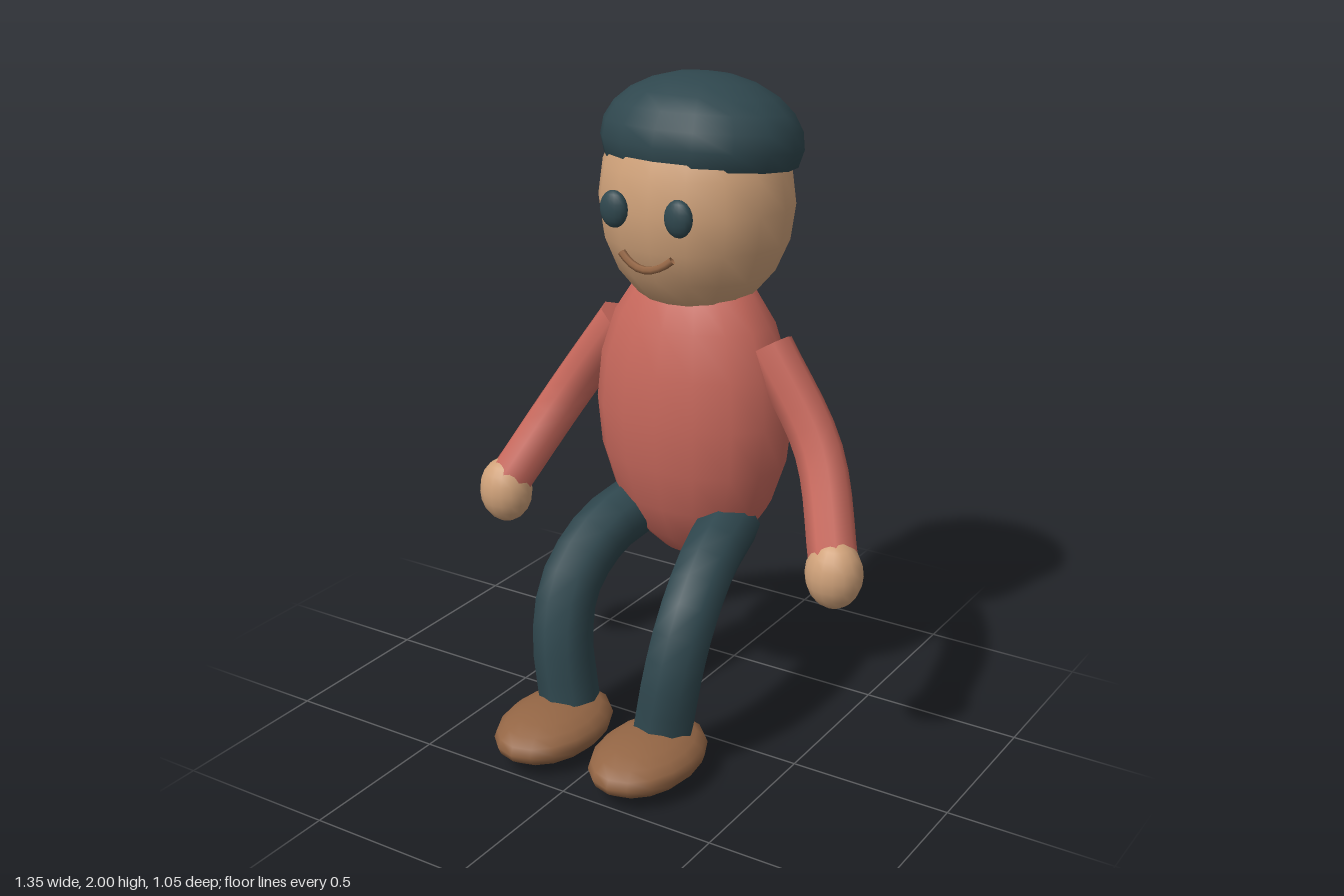
import * as THREE from 'three';

const mat = (name, color) => {
  const m = new THREE.MeshStandardMaterial({ color, side: THREE.DoubleSide });
  m.name = name;
  return m;
};

export function createModel() {
  const group = new THREE.Group();
  const skin = mat('skin', 0xd0a27a);
  const red = mat('red shirt', 0xc7685c);
  const teal = mat('dark teal', 0x2f474e);
  const brown = mat('brown leather', 0x946645);

  const add = (name, geometry, material, parent = group) => {
    const mesh = new THREE.Mesh(geometry, material);
    mesh.name = name;
    parent.add(mesh);
    return mesh;
  };

  // Stretched sphere, optionally cut off below a polar angle
  const ellipsoid = (name, pos, radii, material, theta = Math.PI, rings = 10) => {
    const g = new THREE.SphereGeometry(1, 16, rings, 0, Math.PI * 2, 0, theta);
    g.scale(...radii);
    const mesh = add(name, g, material);
    mesh.position.set(...pos);
    return mesh;
  };

  // Bent limb with flat ends
  const limb = (name, points, radius, material, sides = 8) => {
    const part = new THREE.Group();
    part.name = name;
    const curve = new THREE.CatmullRomCurve3(points.map(p => new THREE.Vector3(...p)));
    add(name + 'Tube', new THREE.TubeGeometry(curve, 10, radius, sides), material, part);
    const frames = curve.computeFrenetFrames(10);
    for (const [t, dir] of [[0, -1], [1, 1]]) {
      const i = t * 10;
      const cap = add(name + 'End', new THREE.CircleGeometry(radius, sides), material, part);
      const x = frames.normals[i].clone().multiplyScalar(-1);
      const z = frames.tangents[i].clone().multiplyScalar(dir);
      const y = new THREE.Vector3().crossVectors(z, x);
      cap.quaternion.setFromRotationMatrix(new THREE.Matrix4().makeBasis(x, y, z));
      cap.position.copy(curve.getPointAt(t));
    }
    group.add(part);
  };

  // Body, head and tilted cap
  ellipsoid('torso', [0, 0.985, -0.225], [0.32, 0.488, 0.226], red);
  ellipsoid('head', [0, 1.63, -0.23], [0.3, 0.35, 0.27], skin);
  const cap = ellipsoid('cap', [0, 1.802, -0.257], [0.31, 0.197, 0.272], teal, Math.PI * 0.6, 7);
  cap.rotation.x = -0.11;

  // Smile
  const smile = new THREE.QuadraticBezierCurve3(
    new THREE.Vector3(-0.085, 1.517, 0.04),
    new THREE.Vector3(0, 1.44, 0.062),
    new THREE.Vector3(0.085, 1.517, 0.04));
  add('mouth', new THREE.TubeGeometry(smile, 8, 0.012, 6), brown);

  // Mirrored parts: left is +x
  for (const [side, s] of [['left', 1], ['right', -1]]) {
    ellipsoid(side + 'Eye', [s * 0.108, 1.642, 0.045], [0.045, 0.055, 0.026], teal);
    limb(side + 'Arm', [
      [s * 0.26, 1.22, -0.222], [s * 0.45, 0.94, -0.19], [s * 0.585, 0.66, -0.045],
    ], 0.073, red);
    ellipsoid(side + 'Hand', [s * 0.588, 0.638, -0.042], [0.087, 0.106, 0.08], skin);
    limb(side + 'Leg', [
      [s * 0.16, 0.65, -0.19], [s * 0.193, 0.6, 0], [s * 0.21, 0.48, 0.145],
      [s * 0.2, 0.33, 0.205], [s * 0.17, 0.13, 0.217],
    ], 0.093, teal);
    ellipsoid(side + 'Shoe', [s * 0.17, 0.077, 0.3], [0.154, 0.077, 0.225], brown);
  }
  return group;
}
